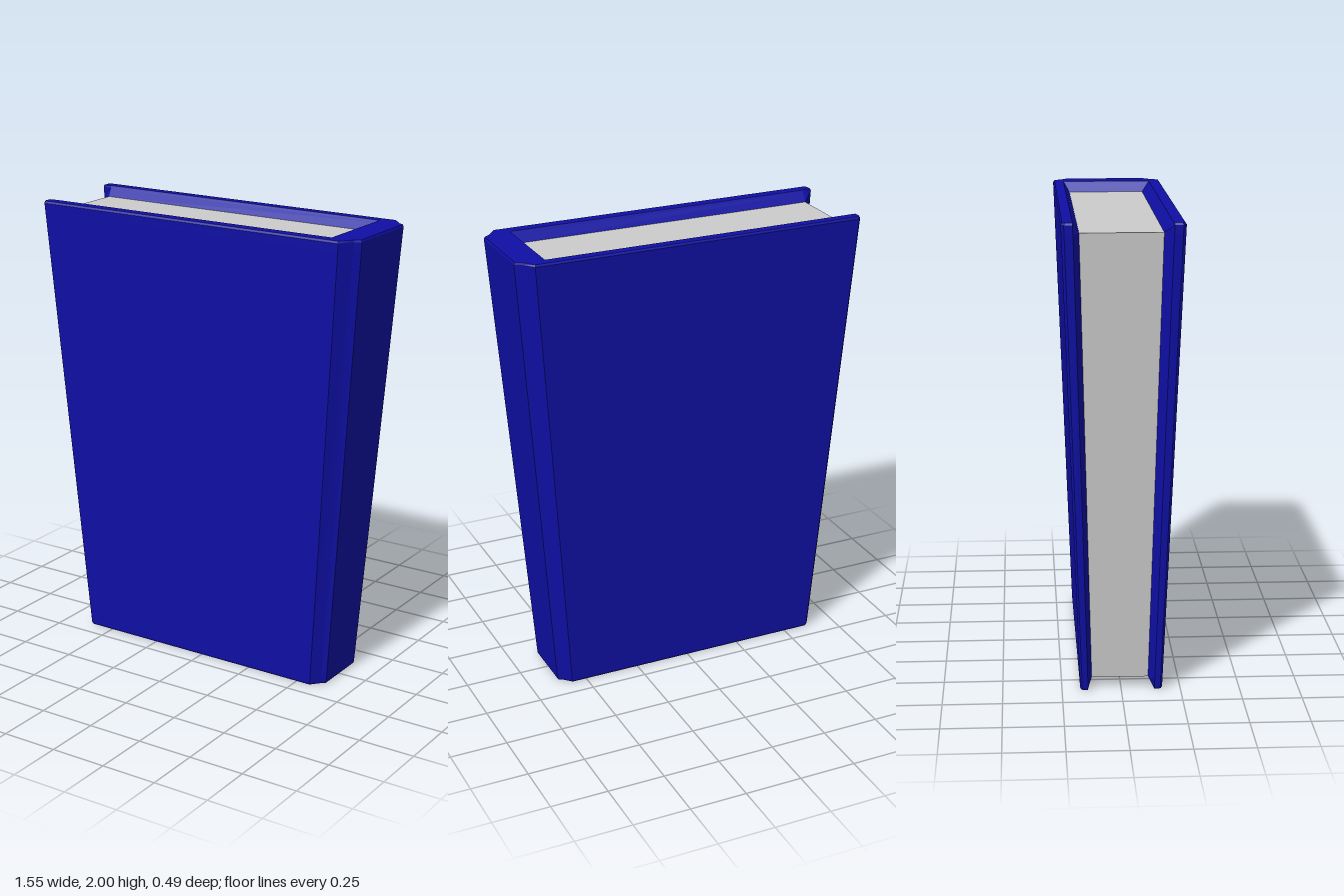
import * as THREE from 'three';

// The whole book narrows towards its foot.
const taper = ([x, z], y) => [x * (0.8 + 0.1 * y), y, z * (0.7 + 0.15 * y)];

// Joins outlines ([x, z] corners, counterclockwise from above) stacked in y, and closes both ends.
function loft(sections) {
  const n = sections[0].outline.length;
  const positions = sections.flatMap(s => s.outline.flatMap(p => taper(p, s.y)));
  const index = [];
  for (let r = 0; r < sections.length - 1; r++) {
    for (let i = 0; i < n; i++) {
      const j = (i + 1) % n, a = r * n, b = a + n;
      index.push(a + i, a + j, b + j, a + i, b + j, b + i);
    }
  }
  const cap = s => THREE.ShapeUtils.triangulateShape(s.outline.map(([x, z]) => new THREE.Vector2(x, -z)), []);
  const top = (sections.length - 1) * n;
  for (const [a, b, c] of cap(sections[0])) index.push(a, c, b);
  for (const [a, b, c] of cap(sections[sections.length - 1])) index.push(top + a, top + b, top + c);
  const geometry = new THREE.BufferGeometry();
  geometry.setAttribute('position', new THREE.Float32BufferAttribute(positions, 3));
  geometry.setIndex(index);
  const flat = geometry.toNonIndexed();
  flat.computeVertexNormals();
  return flat;
}

export function createModel() {
  const book = new THREE.Group();
  book.name = 'book';
  const recess = 0.045;

  // Outside of the cover: front board, chamfered spine, back board
  const outer = [
    [-0.775, 0.2], [-0.775, 0.235], [-0.765, 0.247], [0.71, 0.247], [0.75, 0.19], [0.775, 0.17],
    [0.775, -0.18], [0.75, -0.195], [0.71, -0.247], [-0.765, -0.247], [-0.775, -0.235], [-0.775, -0.2],
  ];
  // Inside of the cover, wider at the rim than against the pages
  const rimInner = [[-0.73, -0.2], [0.65, -0.2], [0.65, 0.195], [-0.73, 0.195]];
  const pageInner = [[-0.73, -0.175], [0.62, -0.175], [0.62, 0.163], [-0.73, 0.163]];
  const eased = outer.map(([x, z]) => [x * 0.994, z * (Math.abs(z) > 0.21 ? 0.975 : 1)]);

  const rim = [...eased, ...rimInner];
  const body = [...outer, ...pageInner];
  const rimBody = [...outer, ...rimInner.map(([x, z], i) => [
    THREE.MathUtils.lerp(x, pageInner[i][0], 0.2), THREE.MathUtils.lerp(z, pageInner[i][1], 0.2),
  ])];
  const cover = new THREE.Mesh(
    loft([
      { y: 0, outline: rim }, { y: 0.009, outline: rimBody }, { y: recess, outline: body },
      { y: 2 - recess, outline: body }, { y: 1.991, outline: rimBody }, { y: 2, outline: rim },
    ]),
    new THREE.MeshStandardMaterial({ color: 0x0f0fa6, flatShading: true }),
  );
  cover.name = 'cover';

  // Page block, set back from the cover edges
  const block = [[-0.73, 0.165], [0.622, 0.165], [0.622, -0.177], [-0.73, -0.177]];
  const pages = new THREE.Mesh(
    loft([{ y: recess, outline: block }, { y: 2 - recess, outline: block }]),
    new THREE.MeshStandardMaterial({ color: 0xcccccc, flatShading: true }),
  );
  pages.name = 'pages';

  book.add(cover, pages);
  return book;
}
